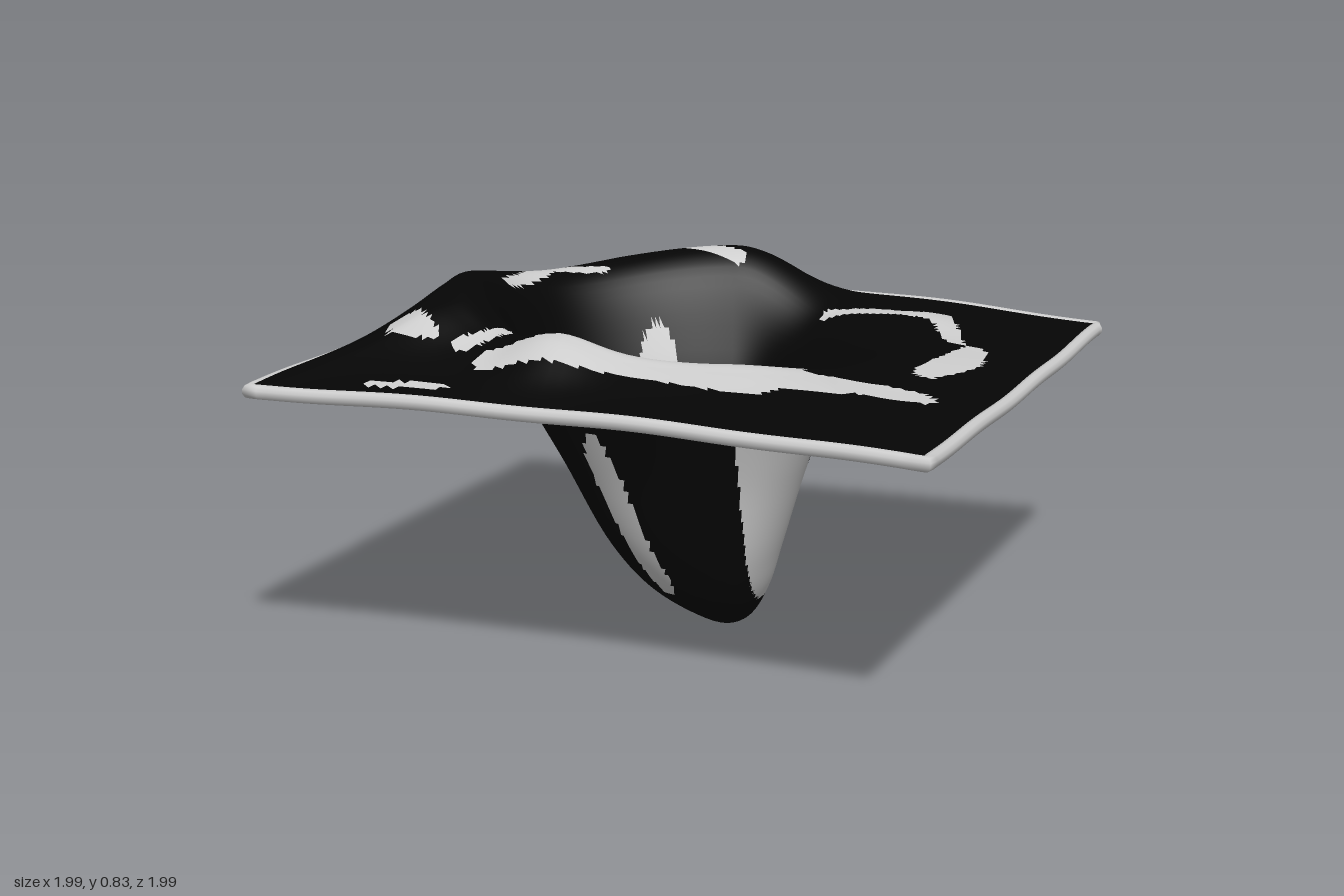
import * as THREE from 'three';

const COLS = 192, ROWS = 77, HALF = 0.012;
const CX = 0.06, CZ = 0.08;

// Pit cross-sections: y, xMin, xMax, zMin, zMax
const LEVELS = [
  [0.012, 0.055, 0.065, 0.075, 0.085],
  [0.03, 0.0, 0.11, -0.01, 0.18],
  [0.1, -0.12, 0.15, -0.11, 0.27],
  [0.2, -0.21, 0.18, -0.17, 0.32],
  [0.4, -0.32, 0.24, -0.23, 0.37],
  [0.58, -0.42, 0.31, -0.28, 0.43],
];
// Inner shoulder and top of the ridge around the pit
const SHOULDER = [0, -0.5, 0.4, -0.365, 0.46];
const CREST = [0, -0.56, 0.5, -0.43, 0.5];
// Ridge height every 45 degrees, from +x towards +z
const CREST_Y = [0.655, 0.66, 0.69, 0.715, 0.815, 0.77, 0.81, 0.68];
// Small knolls on the ridge: x, z, height, radius
const KNOLLS = [[-0.32, 0.48, 0.04, 0.11], [0.55, -0.2, 0.015, 0.1], [-0.6, 0.28, 0.02, 0.1]];

// Sheet corners (x, y, z), with inward pull and lift at the middle of each edge
const CORNERS = [
  [-0.48, 0.62, -0.982, 0.035, 0.045],
  [0.982, 0.608, -0.482, 0, -0.008],
  [0.48, 0.6, 0.98, 0.025, 0.01],
  [-0.982, 0.63, 0.482, 0, 0.015],
];

// Pale streaks in plan: start x, z, end x, z, start radius, end radius
const STREAKS = [
  [-0.44, 0.46, -0.1, 0.51, 0.045, 0.06], [-0.1, 0.51, 0.12, 0.57, 0.06, 0.07],
  [0.12, 0.53, 0.3, 0.56, 0.08, 0.05], [0.3, 0.54, 0.48, 0.52, 0.05, 0.04],
  [0.19, 0.16, 0.16, 0.44, 0.055, 0.085], [0.5, 0.34, 0.6, 0.14, 0.025, 0.045],
  [0.6, 0.14, 0.64, 0, 0.045, 0.03], [0.3, -0.25, 0.54, -0.21, 0.02, 0.04],
  [0.56, -0.26, 0.59, -0.04, 0.035, 0.025], [-0.1, -0.46, 0.07, -0.39, 0.02, 0.02],
  [-0.12, -0.23, -0.03, -0.09, 0.05, 0.015], [-0.22, 0.29, -0.08, 0.25, 0.035, 0.025],
  [-0.48, -0.08, -0.4, -0.28, 0.012, 0.025], [-0.4, -0.28, -0.26, -0.32, 0.025, 0.01],
  [-0.66, 0.29, -0.6, 0.34, 0.045, 0.02], [-0.52, 0.38, -0.44, 0.33, 0.025, 0.02],
  [-0.7, 0.51, -0.55, 0.545, 0.015, 0.015], [-0.66, -0.06, -0.58, -0.28, 0.015, 0.01],
];

function edgePoint(j) {
  const s = (j / COLS) * 4, k = Math.floor(s) % 4, u = s - Math.floor(s);
  const a = CORNERS[k], b = CORNERS[(k + 1) % 4], w = Math.sin(Math.PI * u);
  const x = THREE.MathUtils.lerp(a[0], b[0], u), z = THREE.MathUtils.lerp(a[2], b[2], u);
  const nx = a[2] - b[2], nz = b[0] - a[0], len = Math.hypot(nx, nz);
  return new THREE.Vector3(
    x + (nx / len) * a[3] * w,
    THREE.MathUtils.lerp(a[1], b[1], u) + a[4] * w + 0.002 * Math.sin(u * 6 * Math.PI),
    z + (nz / len) * a[3] * w);
}

function ringPoint([y, x0, x1, z0, z1], theta) {
  const c = Math.cos(theta), s = Math.sin(theta);
  return new THREE.Vector3(CX + c * (c > 0 ? x1 - CX : CX - x0), y, CZ + s * (s > 0 ? z1 - CZ : CZ - z0));
}

function crestHeight(theta) {
  const f = ((theta / (Math.PI / 4)) + 8) % 8, i = Math.floor(f);
  return THREE.MathUtils.lerp(CREST_Y[i % 8], CREST_Y[(i + 1) % 8], THREE.MathUtils.smoothstep(f - i, 0, 1));
}

// One radial profile: pit floor, wall, ridge, then slope out to the edge
function column(j) {
  const edge = edgePoint(j), theta = Math.atan2(edge.z - CZ, edge.x - CX);
  const shoulder = ringPoint(SHOULDER, theta), crest = ringPoint(CREST, theta);
  crest.y = crestHeight(theta);
  shoulder.y = 0.6 + (crest.y - 0.6) * 0.82;
  const slope = [[0.14, 0.88], [0.36, 0.62], [0.66, 0.29]].map(([t, h]) => {
    const p = crest.clone().lerp(edge, t);
    p.y = edge.y + (crest.y - edge.y) * h;
    return p;
  });
  const levels = LEVELS.map((level) => ringPoint(level, theta));
  const points = new THREE.CatmullRomCurve3([...levels, shoulder, crest, ...slope, edge]).getPoints(ROWS);
  for (const p of points) {
    for (const [x, z, h, r] of KNOLLS) p.y += h * Math.exp(-((p.x - x) ** 2 + (p.z - z) ** 2) / (r * r));
  }
  return points;
}

function inStreak(x, z) {
  return STREAKS.some(([ax, az, bx, bz, r0, r1]) => {
    const dx = bx - ax, dz = bz - az;
    const t = THREE.MathUtils.clamp(((x - ax) * dx + (z - az) * dz) / (dx * dx + dz * dz), 0, 1);
    return Math.hypot(x - ax - t * dx, z - az - t * dz) < r0 + (r1 - r0) * t;
  });
}

export function createModel() {
  const group = new THREE.Group();
  const black = new THREE.MeshStandardMaterial({ color: 0x050505 });
  const grey = new THREE.MeshStandardMaterial({ color: 0xcccccc });
  const add = (name, geometry, material) => {
    const mesh = new THREE.Mesh(geometry, material);
    mesh.name = name;
    group.add(mesh);
  };

  // Middle surface of the sheet
  const positions = [], triangles = [];
  for (let j = 0; j < COLS; j++) for (const p of column(j)) positions.push(p.x, p.y, p.z);
  const id = (i, j) => (j % COLS) * (ROWS + 1) + i;
  for (let j = 0; j < COLS; j++) {
    for (let i = 0; i < ROWS; i++) {
      const a = id(i, j), b = id(i, j + 1), c = id(i + 1, j), d = id(i + 1, j + 1);
      triangles.push([a, b, c], [b, d, c]);
    }
  }
  const middle = new THREE.BufferGeometry();
  middle.setAttribute('position', new THREE.Float32BufferAttribute(positions, 3));
  middle.setIndex(triangles.flat());
  middle.computeVertexNormals();
  const normals = middle.attributes.normal.array;

  // Dark and pale triangles
  const parts = { dark: [], pale: [] };
  for (const t of triangles) {
    const x = t.reduce((s, v) => s + positions[v * 3], 0) / 3;
    const z = t.reduce((s, v) => s + positions[v * 3 + 2], 0) / 3;
    parts[inStreak(x, z) ? 'pale' : 'dark'].push(t);
  }

  // Upper and lower skins, offset from the middle surface
  for (const side of [1, -1]) {
    const skin = side > 0 ? 'upper' : 'lower';
    const pos = positions.map((v, k) => v + side * HALF * normals[k]);
    const nor = Array.from(normals, (n) => n * side);
    for (const tone of ['dark', 'pale']) {
      const g = new THREE.BufferGeometry();
      g.setAttribute('position', new THREE.Float32BufferAttribute(pos, 3));
      g.setAttribute('normal', new THREE.Float32BufferAttribute(nor, 3));
      g.setIndex(parts[tone].flatMap(([a, b, c]) => (side > 0 ? [a, b, c] : [a, c, b])));
      add(`${skin}Skin${tone === 'dark' ? '' : 'Streaks'}`, g, tone === 'dark' ? black : grey);
    }
  }

  // Rounded rim around the sheet
  const rim = new THREE.CatmullRomCurve3(Array.from({ length: COLS }, (_, j) => edgePoint(j)), true);
  add('rim', new THREE.TubeGeometry(rim, 256, 0.017, 10, true), grey);
  return group;
}
